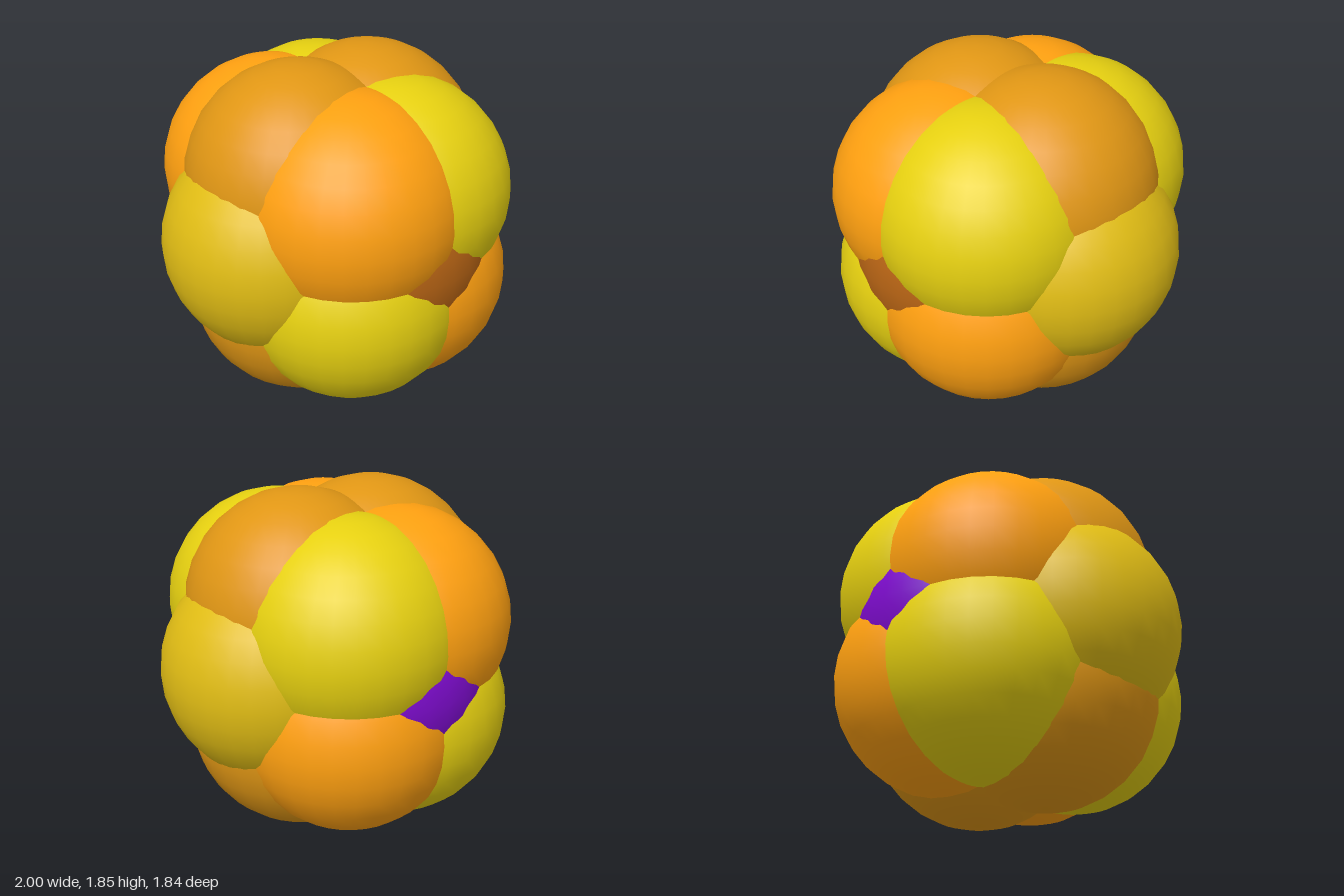
import * as THREE from 'three';

const RADIUS = 0.6;
const CENTER_Y = 0.925;

export function createModel() {
  const model = new THREE.Group();
  model.name = 'sphereCluster';
  const geometry = new THREE.SphereGeometry(RADIUS, 32, 16);
  const paint = (color) => new THREE.MeshStandardMaterial({ color });
  const orange = paint(0xffa010);
  const yellow = paint(0xe6d010);
  const amber = paint(0xe09614);
  const gold = paint(0xe0bc14);
  const rust = paint(0xb86414);
  const purple = paint(0x7f0cd0);

  const addBall = (name, material, x, y, z) => {
    const ball = new THREE.Mesh(geometry, material);
    ball.name = name;
    ball.position.set(x, CENTER_Y + y, z);
    model.add(ball);
  };

  for (const sx of [-1, 1]) {
    const side = sx > 0 ? 'left' : 'right';
    // Ball on each side
    addBall(`${side}SideBall`, gold, sx * 0.4, 0, 0);
    for (const sy of [-1, 1]) {
      const level = sy > 0 ? 'Upper' : 'Lower';
      // Paired balls along the top and bottom
      addBall(`${side}${level}MiddleBall`, amber, sx * 0.235, sy * 0.325, 0);
      // Corner balls, alternating in colour
      for (const sz of [-1, 1]) {
        const end = sz > 0 ? 'Front' : 'Back';
        addBall(`${side}${level}${end}Ball`, sx * sy > 0 ? yellow : orange,
          sx * 0.155, sy * 0.245, sz * 0.32);
      }
    }
  }

  // Balls peeking out between the corners at front and back
  addBall('frontBall', rust, 0, 0, 0.318);
  addBall('backBall', purple, 0, 0, -0.318);

  return model;
}
